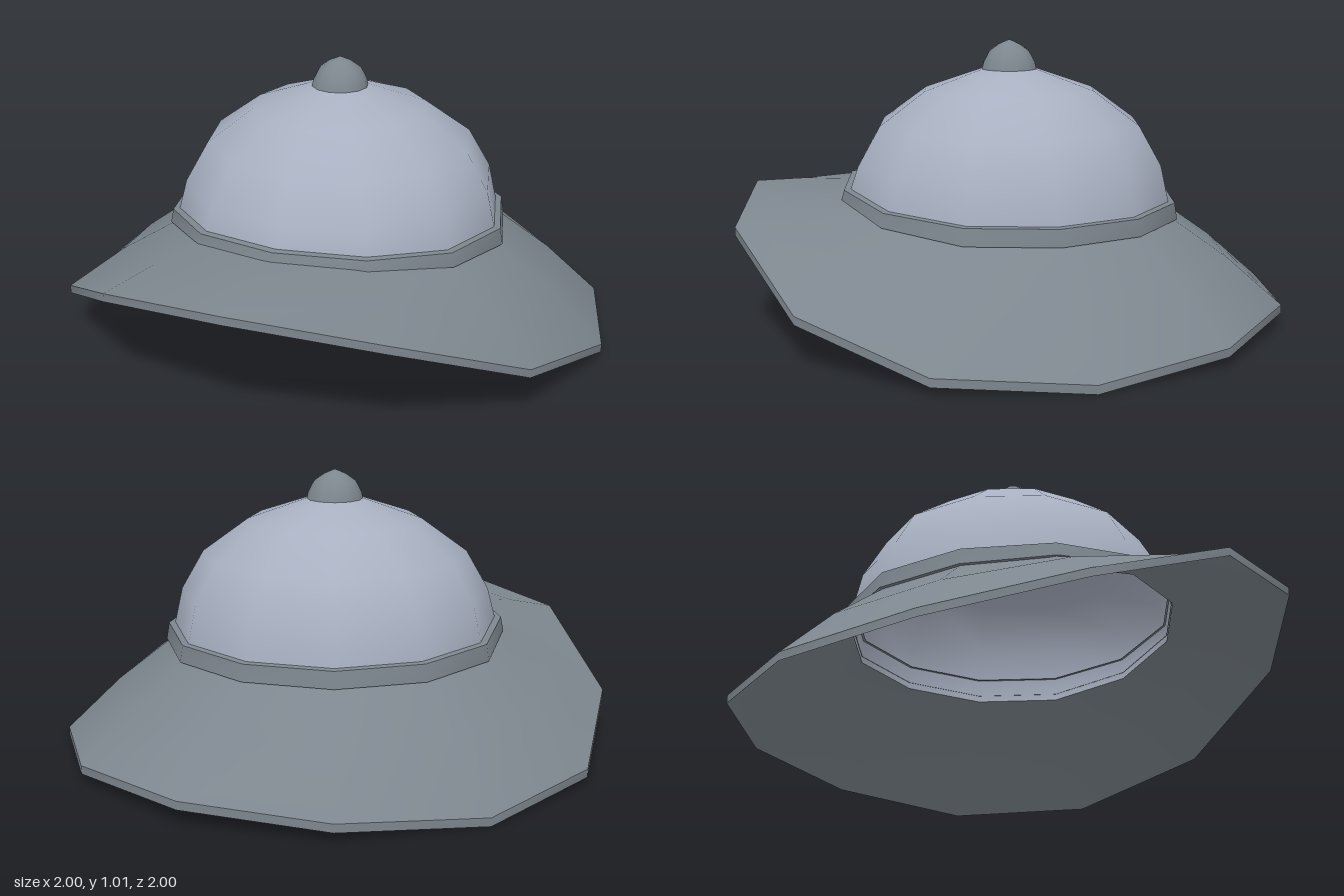
import * as THREE from 'three';
import { mergeGeometries } from 'three/addons/utils/BufferGeometryUtils.js';

const SIDES = 12;

// Smooth surface through rings [radius, height]; a height may be a list running
// from the front (0) to the back (6), mirrored left and right.
function loft(rings) {
  const pos = [], idx = [];
  rings.forEach(([r, h]) => {
    for (let i = 0; i < SIDES; i++) {
      const a = (i / SIDES) * Math.PI * 2;
      const y = Array.isArray(h) ? h[Math.min(i, SIDES - i)] : h;
      pos.push(r * Math.sin(a), y, r * Math.cos(a));
    }
  });
  for (let k = 0; k < rings.length - 1; k++) {
    for (let i = 0; i < SIDES; i++) {
      const j = (i + 1) % SIDES;
      const a = k * SIDES + i, b = k * SIDES + j;
      const c = b + SIDES, d = a + SIDES;
      idx.push(a, b, c, a, c, d);
    }
  }
  const g = new THREE.BufferGeometry();
  g.setAttribute('position', new THREE.Float32BufferAttribute(pos, 3));
  g.setIndex(idx);
  g.computeVertexNormals();
  return g;
}

const shift = (list, d) => list.map((y) => y + d);

export function createModel() {
  const model = new THREE.Group();
  model.name = 'sunHelmet';
  const cloth = new THREE.MeshStandardMaterial({ color: 0xa8b0c1, side: THREE.DoubleSide });
  cloth.name = 'paleCloth';
  const trim = new THREE.MeshStandardMaterial({ color: 0x7d868e, side: THREE.DoubleSide });
  trim.name = 'greyTrim';

  const add = (name, geometry, material) => {
    const mesh = new THREE.Mesh(geometry, material);
    mesh.name = name;
    model.add(mesh);
  };

  // Heights from front to back
  const outer = [0.445, 0.375, 0.18, 0.055, 0.03, 0.065, 0.085];
  const middle = [0.465, 0.425, 0.315, 0.24, 0.225, 0.24, 0.25];
  const inner = [0.47, 0.455, 0.415, 0.387, 0.382, 0.382, 0.382];
  const bandTop = [0.5, 0.487, 0.46, 0.442, 0.438, 0.437, 0.437];
  const t = -0.03;

  // Sloping brim: underside, thin rim and top, sharp between them
  add('brim', mergeGeometries([
    loft([[0.59, shift(inner, t)], [0.8, shift(middle, t)], [1, shift(outer, t)]]),
    loft([[1, shift(outer, t)], [1, outer]]),
    loft([[1, outer], [0.8, middle], [0.6, inner]]),
  ]), trim);

  // Band around the foot of the crown
  add('band', mergeGeometries([
    loft([[0.59, shift(inner, -0.005)], [0.622, shift(inner, -0.005)]]),
    loft([[0.622, shift(inner, -0.005)], [0.612, bandTop]]),
    loft([[0.612, bandTop], [0.58, shift(bandTop, 0.004)]]),
  ]), trim);

  // Domed crown, open below
  add('crown', loft([
    [0.592, shift(inner, t)], [0.592, shift(bandTop, -0.01)], [0.56, 0.57],
    [0.48, 0.71], [0.315, 0.83], [0.1, 0.905], [0, 0.912],
  ]), cloth);

  // Button on top
  add('topButton', loft([[0.103, 0.9], [0.096, 0.928], [0.075, 0.968], [0.04, 0.993], [0, 1.01]]), trim);

  return model;
}
